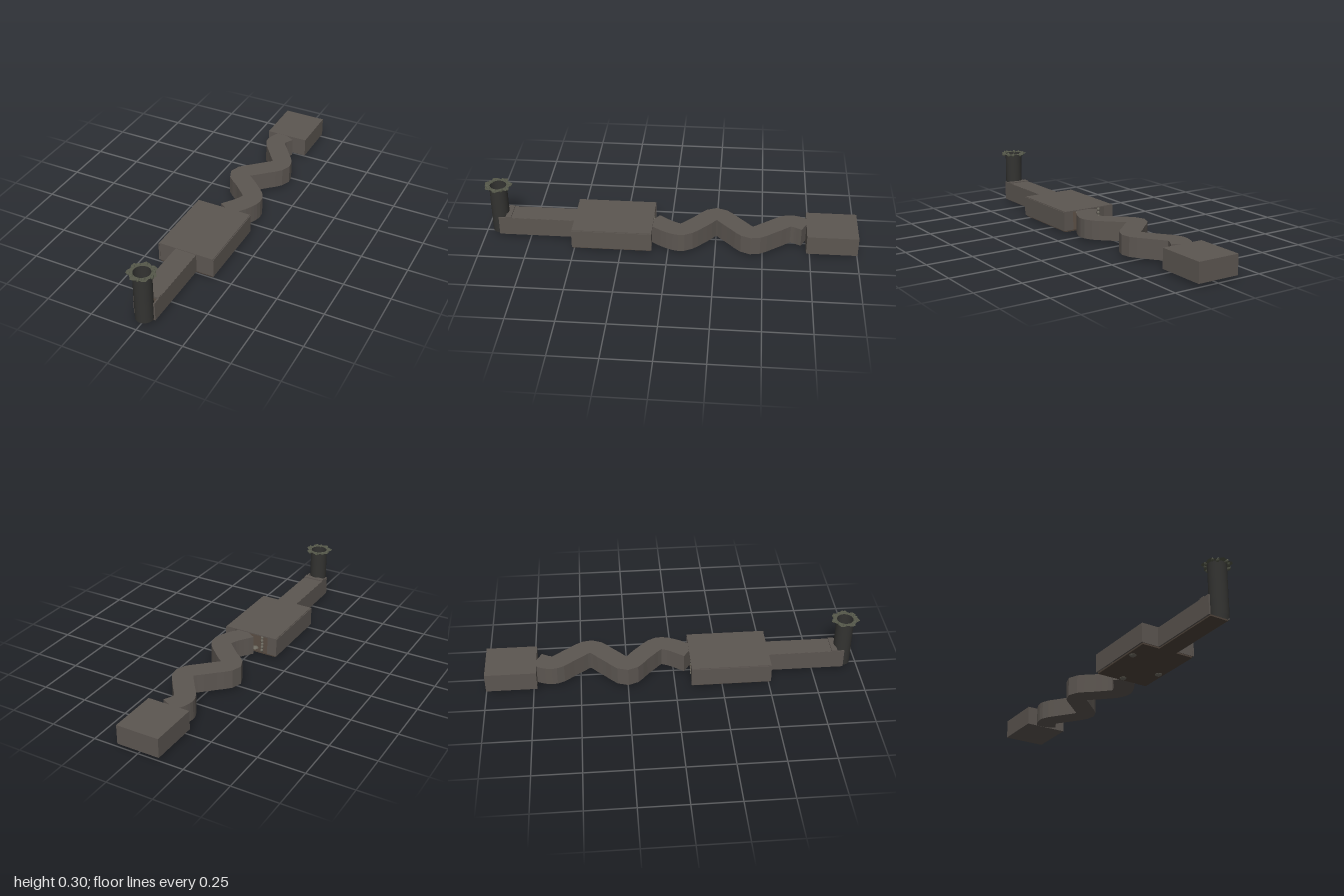
import * as THREE from 'three';

const mat = (color) => new THREE.MeshStandardMaterial({ color, side: THREE.DoubleSide, flatShading: true });
const wallMat = mat(0x5c5651), floorMat = mat(0x4f443b), shaftMat = mat(0x333331);
const stoneMat = mat(0x6d6a60), mossMat = mat(0x55584a);

// Small repeatable generator for uneven stones
let seed = 7;
const rand = () => (seed = (seed * 16807) % 2147483647) / 2147483647;

function add(parent, name, geometry, material) {
  const mesh = new THREE.Mesh(geometry, material);
  mesh.name = name;
  parent.add(mesh);
  return mesh;
}

// Box given by its limits
function slab(parent, name, material, x0, x1, y0, y1, z0, z1) {
  const m = add(parent, name, new THREE.BoxGeometry(x1 - x0, y1 - y0, z1 - z0), material);
  m.position.set((x0 + x1) / 2, (y0 + y1) / 2, (z0 + z1) / 2);
  return m;
}

function stone(parent, name, material, x, y, z, sx, sy, sz) {
  const m = add(parent, name, new THREE.IcosahedronGeometry(1, 1), material);
  m.position.set(x, y, z);
  m.scale.set(sx, sy, sz);
  m.rotation.y = rand() * 3;
  return m;
}

// Ribbon-shaped solid that follows a winding centre line
function windingTunnel(points, width, y0, y1) {
  const curve = new THREE.CatmullRomCurve3(points.map(([x, z]) => new THREE.Vector3(x, 0, z)));
  const left = [], right = [], n = 40;
  for (let i = 0; i <= n; i++) {
    const p = curve.getPoint(i / n), t = curve.getTangent(i / n);
    const dx = -t.z * width / 2, dz = t.x * width / 2;
    left.push(new THREE.Vector2(p.x + dx, -(p.z + dz)));
    right.unshift(new THREE.Vector2(p.x - dx, -(p.z - dz)));
  }
  const g = new THREE.ExtrudeGeometry(new THREE.Shape([...left, ...right]), { depth: y1 - y0, bevelEnabled: false });
  return g.rotateX(-Math.PI / 2).translate(0, y0, 0);
}

export function createModel() {
  const model = new THREE.Group();
  model.name = 'undergroundPassage';

  // Main chamber: thin floor, ceiling and walls, open towards both passages
  const chamber = new THREE.Group();
  chamber.name = 'mainChamber';
  model.add(chamber);
  slab(chamber, 'chamberFloor', floorMat, -0.148, 0.148, 0.012, 0.02, 0.09, 0.505);
  slab(chamber, 'chamberCeiling', wallMat, -0.152, 0.152, 0.12, 0.126, 0.085, 0.508);
  for (const s of [-1, 1]) {
    const side = (name, a, b, z0, z1) =>
      slab(chamber, name, wallMat, Math.min(s * a, s * b), Math.max(s * a, s * b), 0.02, 0.122, z0, z1);
    side('chamberSideWall', 0.149, 0.156, 0.085, 0.51);
    side('chamberFrontWall', 0.055, 0.15, 0.502, 0.508);
    side('chamberBackWall', 0.1, 0.15, 0.087, 0.093);
  }

  // Floor stones whose undersides poke through
  for (const [x, z] of [[0.12, 0.25], [-0.01, 0.115], [-0.12, 0.375]])
    stone(chamber, 'floorStone', stoneMat, x, 0.016, z, 0.02, 0.015, 0.02);

  // Broken masonry around the rear opening
  for (const s of [-1, 1])
    for (let i = 0; i < 5; i++)
      stone(chamber, 'openingStone', stoneMat, s * (0.062 + 0.006 * rand()), 0.03 + i * 0.02, 0.092, 0.008, 0.01, 0.008);

  // Straight corridor to the shaft
  const corridor = new THREE.Group();
  corridor.name = 'corridor';
  model.add(corridor);
  slab(corridor, 'corridorFloor', floorMat, -0.05, 0.05, 0.012, 0.02, 0.505, 0.915);
  slab(corridor, 'corridorCeiling', wallMat, -0.058, 0.058, 0.117, 0.123, 0.508, 0.88);
  slab(corridor, 'ceilingLip', wallMat, -0.058, 0.058, 0.123, 0.128, 0.85, 0.88);
  for (const s of [-1, 1])
    slab(corridor, 'corridorWall', wallMat, s * 0.055 - 0.004, s * 0.055 + 0.004, 0.018, 0.122, 0.508, 0.918);

  // Entrance shaft, open at both ends
  const shaft = new THREE.Group();
  shaft.name = 'entranceShaft';
  shaft.position.z = 0.918;
  model.add(shaft);
  const tubeMat = shaftMat.clone();
  tubeMat.flatShading = false;
  add(shaft, 'shaftWall', new THREE.CylinderGeometry(0.047, 0.047, 0.275, 24, 1, true), tubeMat).position.y = 0.1545;

  // Ragged flat rim
  const rim = new THREE.RingGeometry(0.044, 0.07, 24, 1).rotateX(-Math.PI / 2);
  const p = rim.attributes.position;
  for (let i = 0; i < p.count; i++) {
    const x = p.getX(i), z = p.getZ(i);
    if (Math.hypot(x, z) < 0.06) continue;
    const k = 1 + 0.12 * Math.cos(7 * Math.atan2(z, x));
    p.setXYZ(i, x * k, 0, z * k);
  }
  add(shaft, 'shaftRim', rim, mossMat).position.y = 0.292;

  // Stones scattered on the rim
  for (let i = 0; i < 10; i++) {
    const a = (i / 10) * Math.PI * 2 + rand() * 0.3, r = 0.053 + rand() * 0.01;
    const m = stone(shaft, 'rimStone', mossMat, Math.cos(a) * r, 0.29, Math.sin(a) * r,
      0.008 + rand() * 0.006, 0.008 + rand() * 0.006, 0.007);
    m.rotation.z = rand() * 2;
  }

  // Winding tunnel to the far chamber
  const path = [[0.012, 0.085], [0.075, -0.01], [0.09, -0.075], [0.01, -0.165], [-0.073, -0.25], [0.01, -0.345],
    [0.093, -0.44], [0.035, -0.54], [-0.031, -0.635], [-0.025, -0.68], [0.0, -0.728]];
  add(model, 'windingTunnel', windingTunnel(path, 0.108, 0.019, 0.122), wallMat);

  // Far chamber
  slab(model, 'farChamber', wallMat, -0.118, 0.116, 0.018, 0.123, -1, -0.73);

  return model;
}
